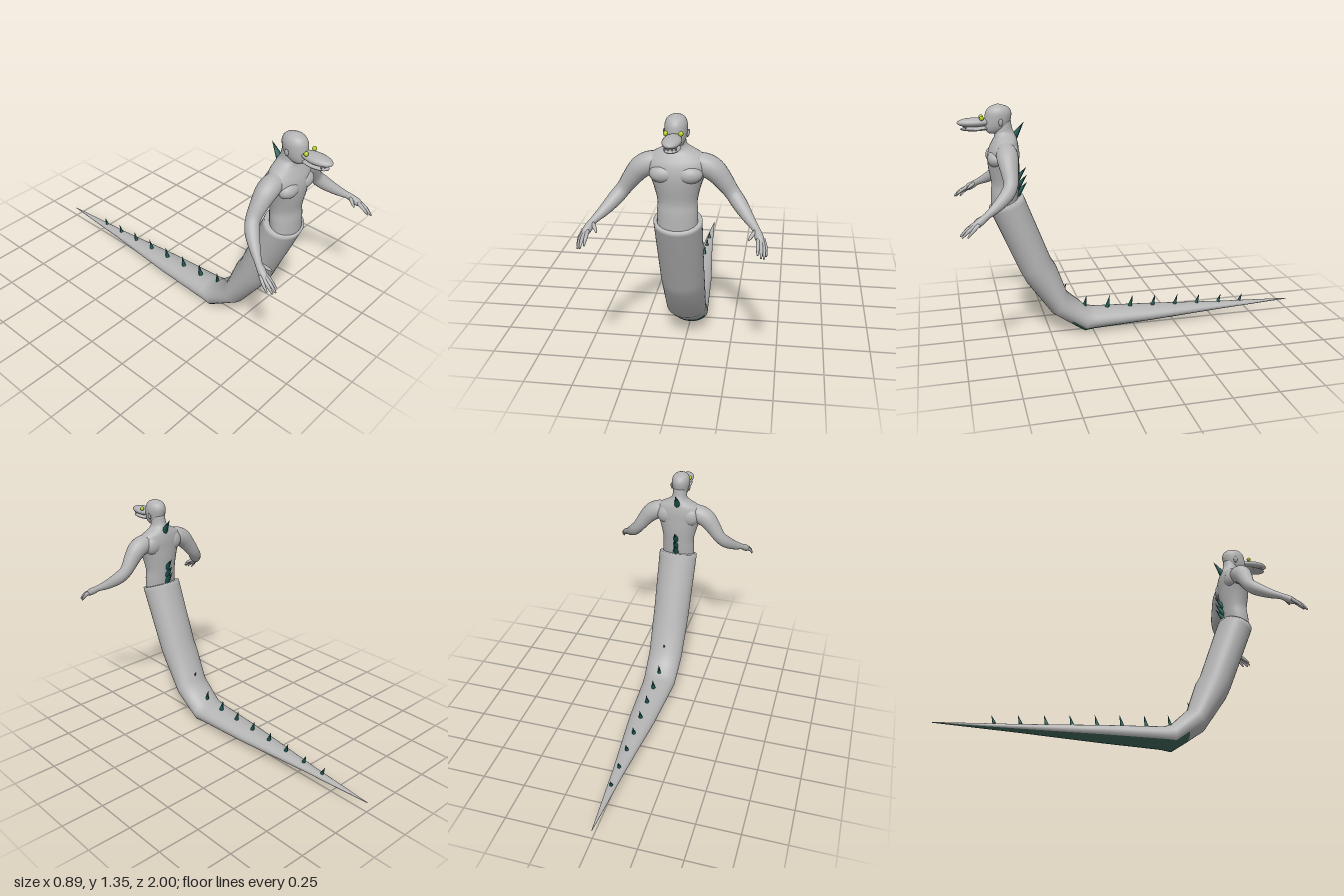
import * as THREE from 'three';

const mat = (name, color) => {
  const m = new THREE.MeshStandardMaterial({ color });
  m.name = name;
  return m;
};
const V = (x, y, z) => new THREE.Vector3(x, y, z);

// Catmull-Rom interpolation of rows of numbers
function smooth(rows, steps) {
  const out = [];
  const at = i => rows[Math.min(rows.length - 1, Math.max(0, i))];
  for (let i = 0; i < rows.length - 1; i++) {
    for (let s = 0; s < steps; s++) {
      const t = s / steps, [a, b, c, d] = [at(i - 1), at(i), at(i + 1), at(i + 2)];
      out.push(b.map((_, k) => b[k] + 0.5 * t * (c[k] - a[k]
        + t * (2 * a[k] - 5 * b[k] + 4 * c[k] - d[k] + t * (3 * (b[k] - c[k]) + d[k] - a[k])))));
    }
  }
  out.push(rows[rows.length - 1]);
  return out;
}

// Closed skin over elliptical rings { c, u, v }; isSecond(i, angle) picks the second material
function loft(rings, n, isSecond = () => false) {
  const pos = [], faces = [[], []];
  for (const { c, u, v } of rings) {
    for (let j = 0; j < n; j++) {
      const a = j / n * Math.PI * 2;
      pos.push(...c.clone().addScaledVector(u, Math.cos(a)).addScaledVector(v, Math.sin(a)).toArray());
    }
  }
  const last = rings.length - 1, start = rings.length * n;
  pos.push(...rings[0].c.toArray(), ...rings[last].c.toArray());
  for (let j = 0; j < n; j++) {
    const k = (j + 1) % n;
    for (let i = 0; i < last; i++) {
      const a = i * n + j, b = i * n + k;
      faces[isSecond(i, (j + 0.5) / n * Math.PI * 2) ? 1 : 0].push(a, b, b + n, a, b + n, a + n);
    }
    faces[0].push(start, k, j, start + 1, last * n + j, last * n + k);
  }
  const g = new THREE.BufferGeometry();
  g.setAttribute('position', new THREE.Float32BufferAttribute(pos, 3));
  g.setIndex([...faces[0], ...faces[1]]);
  g.addGroup(0, faces[0].length, 0);
  if (faces[1].length) g.addGroup(faces[0].length, faces[1].length, 1);
  g.computeVertexNormals();
  return g;
}

// Upright form from rows [y, half width, front z, back z]
const upright = rows => loft(smooth(rows, 4).map(([y, w, f, b]) => ({
  c: V(0, y, (f + b) / 2), u: V(w, 0, 0), v: V(0, 0, -(f - b) / 2),
})), 32);

// Limb along rows [x, y, z, radius]
function limb(rows, n, steps) {
  const r = smooth(rows, steps), p = r.map(q => V(q[0], q[1], q[2]));
  return loft(r.map((q, i) => {
    const t = p[Math.min(i + 1, p.length - 1)].clone().sub(p[Math.max(i - 1, 0)]).normalize();
    const u = V(0, 0, 1).cross(t).normalize();
    const v = t.clone().cross(u);
    return { c: p[i], u: u.multiplyScalar(q[3]), v: v.multiplyScalar(q[3]) };
  }), n);
}

export function createModel() {
  const skin = mat('grey skin', 0xb4b4b4);
  const belly = mat('green belly', 0x3f6658);
  const spine = mat('dark teal spine', 0x17564f);
  const eyeMat = mat('yellow green eye', 0xb4cc1e);
  const model = new THREE.Group();
  const add = (name, geo, material, parent = model) => {
    const m = new THREE.Mesh(geo, material);
    m.name = name;
    parent.add(m);
    return m;
  };
  const ball = (name, material, c, s) => {
    const m = add(name, new THREE.SphereGeometry(1, 24, 16), material);
    m.position.set(...c);
    m.scale.set(...s);
    return m;
  };

  // Serpent lower body: [front z, y, back z, y, half width]
  const tail = [
    [0.82, 0.78, 0.63, 0.845, 0.12], [0.81, 0.755, 0.62, 0.82, 0.12],
    [0.66, 0.39, 0.49, 0.47, 0.114], [0.63, 0.33, 0.46, 0.42, 0.113],
    [0.49, 0.13, 0.40, 0.25, 0.108], [0.39, 0.06, 0.34, 0.195, 0.105],
    [0.305, 0.003, 0.29, 0.148, 0.102], [0.25, 0.012, 0.24, 0.133, 0.098],
    [-0.1, 0.025, -0.1, 0.115, 0.079], [-0.55, 0.045, -0.55, 0.088, 0.035],
    [-1, 0.062, -1, 0.066, 0.002],
  ].map(([fz, fy, bz, by, w]) => ({
    c: V(0, (fy + by) / 2, (fz + bz) / 2), u: V(w, 0, 0), v: V(0, (fy - by) / 2, (fz - bz) / 2),
  }));
  add('serpentTail', loft(tail, 36, (i, a) => i >= 5 && Math.sin(a) > 0.45), [skin, belly]);

  // Torso, neck and head
  add('torso', upright([
    [0.77, 0.1, 0.808, 0.665], [0.86, 0.1, 0.805, 0.655], [0.92, 0.098, 0.8, 0.65],
    [1.0, 0.116, 0.812, 0.645], [1.06, 0.138, 0.815, 0.645], [1.11, 0.152, 0.805, 0.645],
    [1.15, 0.125, 0.785, 0.65], [1.175, 0.08, 0.772, 0.657], [1.195, 0.05, 0.772, 0.665],
    [1.22, 0.043, 0.775, 0.675], [1.26, 0.04, 0.775, 0.68],
  ]), skin);
  add('head', upright([
    [1.195, 0.02, 0.8, 0.74], [1.21, 0.036, 0.815, 0.715], [1.24, 0.049, 0.82, 0.69],
    [1.28, 0.054, 0.818, 0.677], [1.31, 0.052, 0.812, 0.677], [1.335, 0.038, 0.792, 0.695],
    [1.35, 0.006, 0.755, 0.738],
  ]), skin);

  // Muzzle
  ball('upperSnout', skin, [0, 1.256, 0.875], [0.045, 0.025, 0.09]);
  ball('lowerJaw', skin, [0, 1.222, 0.87], [0.039, 0.013, 0.078]);
  for (const x of [-0.024, -0.009, 0.009, 0.024]) {
    const tooth = add('tooth', new THREE.ConeGeometry(0.006, 0.022, 8), skin);
    tooth.position.set(x, 1.228, 0.935 - Math.abs(x) * 0.6);
    tooth.rotation.x = Math.PI;
  }

  for (const s of [-1, 1]) {
    const side = s > 0 ? 'left' : 'right';
    ball(side + 'Eye', eyeMat, [s * 0.035, 1.28, 0.836], [0.012, 0.012, 0.012]);
    ball(side + 'Ear', skin, [s * 0.055, 1.257, 0.738], [0.007, 0.02, 0.012]).rotation.z = -s * 0.2;
    ball(side + 'Chest', skin, [s * 0.062, 1.065, 0.772], [0.066, 0.046, 0.048]);
    ball(side + 'ShoulderBlade', skin, [s * 0.075, 1.09, 0.69], [0.06, 0.06, 0.042]);

    // Arm, palm and fingers
    const m = rows => rows.map(([x, ...rest]) => [s * x, ...rest]);
    add(side + 'Arm', limb(m([
      [0.08, 1.115, 0.72, 0.045], [0.13, 1.1, 0.72, 0.056], [0.175, 1.075, 0.72, 0.056],
      [0.215, 1.03, 0.718, 0.048], [0.262, 0.965, 0.718, 0.038], [0.3, 0.92, 0.745, 0.037],
      [0.345, 0.875, 0.8, 0.028], [0.385, 0.842, 0.855, 0.018], [0.398, 0.826, 0.88, 0.02],
      [0.41, 0.808, 0.908, 0.02], [0.42, 0.795, 0.928, 0.01],
    ]), 20, 4), skin);
    const fingers = [
      [[0.385, 0.835, 0.875], [0.368, 0.82, 0.9], [0.358, 0.808, 0.918]],
      [[0.402, 0.815, 0.91], [0.402, 0.79, 0.95], [0.403, 0.765, 0.982]],
      [[0.41, 0.81, 0.912], [0.418, 0.785, 0.96], [0.42, 0.755, 0.993]],
      [[0.418, 0.808, 0.91], [0.43, 0.78, 0.953], [0.433, 0.75, 0.985]],
      [[0.423, 0.81, 0.9], [0.437, 0.782, 0.93], [0.442, 0.75, 0.958]],
    ];
    for (const f of fingers) {
      add(side + 'Finger', limb(m(f.map((p, i) => [...p, [0.0105, 0.009, 0.004][i]])), 10, 3), skin);
    }
  }

  // Spines, each from a base to a tip given as [z, y]
  const spike = (name, [bz, by], [tz, ty], r) => {
    const base = V(0, by, bz), dir = V(0, ty, tz).sub(base), h = dir.length();
    const c = add(name, new THREE.ConeGeometry(r, h, 8).translate(0, h / 2, 0), spine);
    c.position.copy(base);
    c.quaternion.setFromUnitVectors(V(0, 1, 0), dir.normalize());
  };
  spike('neckSpine', [0.672, 1.162], [0.61, 1.25], 0.022);
  for (const y of [0.845, 0.885, 0.93]) spike('backSpine', [0.665, y], [0.605, y + 0.07], 0.02);
  spike('bendSpine', [0.415, 0.265], [0.4, 0.3], 0.007);
  for (let i = 0; i < 8; i++) {
    const z = 0.3 - i * 0.14, y = 0.13 - i * 0.0065;
    spike('tailSpine', [z, y], [z - 0.018, y + 0.083 - i * 0.0055], 0.015 - i * 0.0007);
  }
  return model;
}
